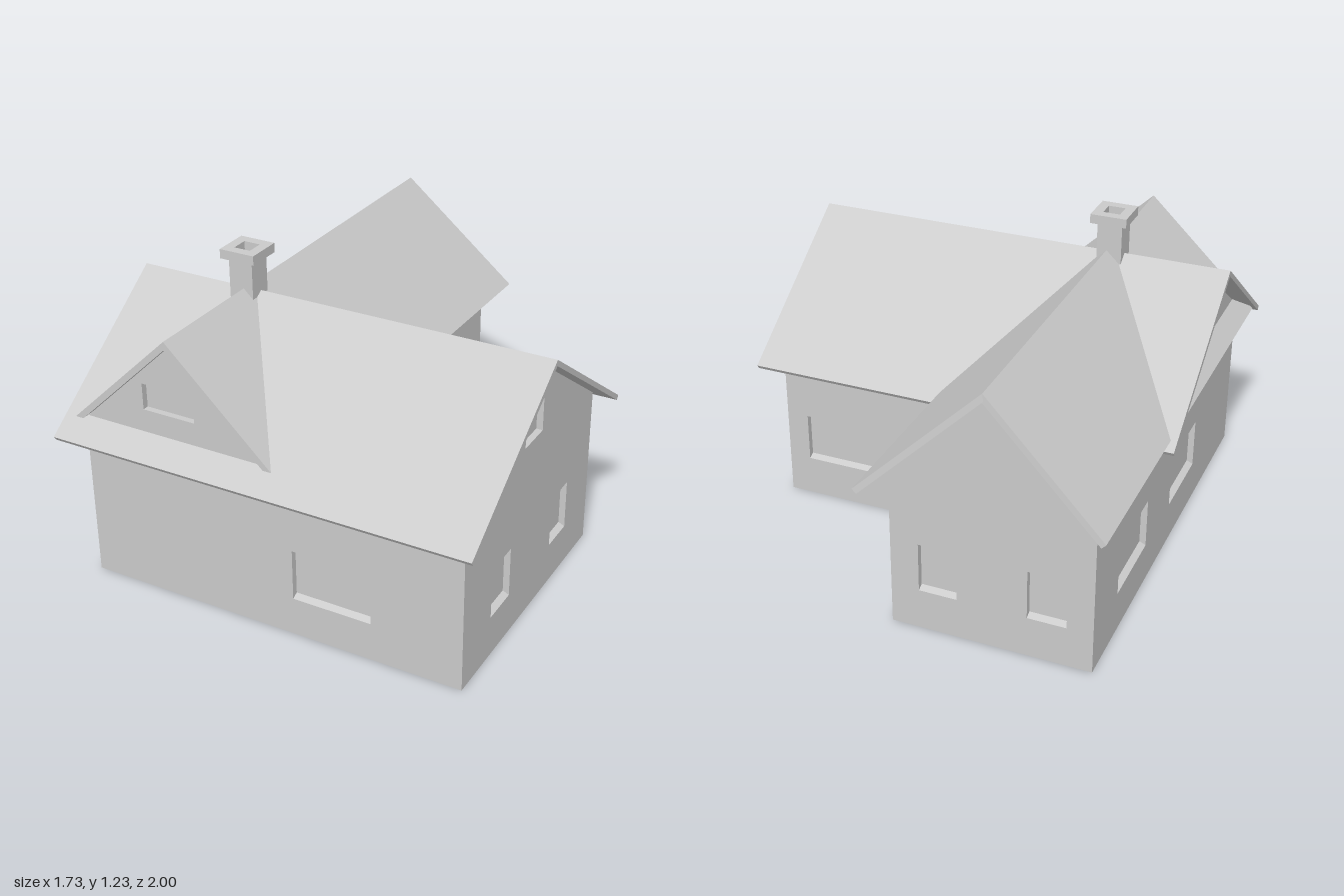
import * as THREE from 'three';
import { ConvexGeometry } from 'three/addons/geometries/ConvexGeometry.js';

const solid = new THREE.MeshStandardMaterial({ color: 0xcccccc, flatShading: true });
const sheet = new THREE.MeshStandardMaterial({ color: 0xcccccc, flatShading: true, side: THREE.DoubleSide });
const V = (x, y, z) => new THREE.Vector3(x, y, z);

const part = (name, geometry, material = solid) => {
  const mesh = new THREE.Mesh(geometry, material);
  mesh.name = name;
  return mesh;
};

// Rectangular ring or panel path
const rect = (Type, x0, y0, x1, y1) => new Type([
  new THREE.Vector2(x0, y0), new THREE.Vector2(x1, y0),
  new THREE.Vector2(x1, y1), new THREE.Vector2(x0, y1),
]);

// Sunken window: four reveals (sill slopes inwards) and a pane
function windowRecess([x0, y0, x1, y1], depth = 0.025, sill = 0.012) {
  const front = [V(x0, y0, 0), V(x1, y0, 0), V(x1, y1, 0), V(x0, y1, 0)];
  const back = [V(x0, y0 + sill, -depth), V(x1, y0 + sill, -depth), V(x1, y1, -depth), V(x0, y1, -depth)];
  const points = [];
  const quad = (a, b, c, d) => points.push(a, b, c, a, c, d);
  for (let i = 0; i < 4; i++) {
    const j = (i + 1) % 4;
    quad(front[i], front[j], back[j], back[i]);
  }
  quad(...back);
  const geometry = new THREE.BufferGeometry().setFromPoints(points);
  geometry.computeVertexNormals();
  return part('window', geometry, sheet);
}

// Thin wall drawn in its own plane, with windows cut out, then turned into place
function wall(name, outline, windows, turn, x, z) {
  const group = new THREE.Group();
  group.name = name;
  const shape = new THREE.Shape(outline.map(([u, y]) => new THREE.Vector2(u, y)));
  for (const w of windows) {
    shape.holes.push(rect(THREE.Path, ...w));
    group.add(windowRecess(w, 0.025, w[1] < 0.5 ? 0.012 : 0));
  }
  group.add(part(name + 'Panel', new THREE.ShapeGeometry(shape), sheet));
  group.rotation.y = turn;
  group.position.set(x, 0, z);
  return group;
}

// Roof slab: four top corners, thickened downwards along the normal
function slab(name, corners, thickness) {
  const n = new THREE.Plane().setFromCoplanarPoints(...corners.slice(0, 3)).normal;
  if (n.y < 0) n.negate();
  const lower = corners.map(c => c.clone().addScaledVector(n, -thickness));
  return part(name, new ConvexGeometry([...corners, ...lower]));
}

// Square tube lying on the ground plane, extruded upwards
function squareTube(name, outer, inner, y, height) {
  const shape = rect(THREE.Shape, -outer, -outer, outer, outer);
  shape.holes.push(rect(THREE.Path, -inner, -inner, inner, inner));
  const geometry = new THREE.ExtrudeGeometry(shape, { depth: height, bevelEnabled: false });
  geometry.rotateX(-Math.PI / 2).translate(-0.39, y, 0.355);
  return part(name, geometry);
}

export function createModel() {
  const house = new THREE.Group();
  house.name = 'house';

  // Body extents: main block and rear wing
  const L = -0.77, R = 0.79, F = 0.9, B = -0.21, wingR = 0.01, wingB = -0.86;
  const ridgeZ = 0.35, ridgeX = -0.38;
  // Underside heights of the two roofs
  const mainY = z => 1.035 - 0.685 * Math.abs(z - ridgeZ);
  const crossY = x => 1.045 - 0.957 * Math.abs(x - ridgeX);
  const low = 0.165, high = 0.365;

  // Walls
  house.add(
    wall('frontWall', [[L, 0], [R, 0], [R, mainY(F)], [L, mainY(F)]],
      [[0.11, 0.155, 0.43, 0.36]], 0, 0, F),
    wall('frontGable', [[-0.76, crossY(-0.76)], [0, crossY(0)], [ridgeX, crossY(ridgeX)]],
      [[-0.5, 0.775, -0.28, 0.88]], 0, 0, F),
    wall('rightWall', [[-F, 0], [-B, 0], [-B, mainY(B)], [-ridgeZ, mainY(ridgeZ)], [-F, mainY(F)]],
      [[-0.675, low, -0.52, high], [-0.155, low, -0.005, high], [-0.43, 0.73, -0.28, 0.925]], Math.PI / 2, R, 0),
    wall('leftWall', [[wingB, 0], [F, 0], [F, mainY(F)], [ridgeZ, mainY(ridgeZ)],
      [B, mainY(B)], [B, crossY(L)], [wingB, crossY(L)]],
      [[-0.6, low, -0.27, high], [0.03, low, 0.36, high], [0.28, 0.73, 0.43, 0.925]], -Math.PI / 2, L, 0),
    wall('backWall', [[-R, 0], [-wingR, 0], [-wingR, mainY(B)], [-R, mainY(B)]],
      [[-0.7, low, -0.41, high]], Math.PI, 0, B),
    wall('wingSideWall', [[-B, 0], [-wingB, 0], [-wingB, crossY(wingR)], [-B, crossY(wingR)]],
      [[0.39, low, 0.69, high]], Math.PI / 2, wingR, 0),
    wall('wingBackWall', [[-wingR, 0], [-L, 0], [-L, crossY(L)], [-ridgeX, crossY(ridgeX)], [-wingR, crossY(wingR)]],
      [[0.1, low, 0.25, high], [0.52, low, 0.67, high]], Math.PI, 0, wingB),
  );

  // Back door
  const door = part('door', new THREE.BoxGeometry(0.16, 0.305, 0.02));
  door.position.set(0.19, 0.1525, B - 0.005);
  house.add(door);

  // Main roof, ridge running side to side
  const mainRidge = [V(-0.865, 1.06, ridgeZ), V(0.86, 1.06, ridgeZ)];
  house.add(
    slab('mainRoofFront', [...mainRidge, V(0.86, 0.615, 1), V(-0.848, 0.615, 1)], 0.02),
    slab('mainRoofBack', [...mainRidge, V(0.86, 0.613, -0.305), V(-0.865, 0.613, -0.305)], 0.02),
  );

  // Cross roof, running from the front gable through to the wing
  const crossRidge = [V(ridgeX, 1.08, 0.915), V(ridgeX, 1.08, -0.93)];
  house.add(
    slab('crossRoofLeft', [...crossRidge, V(-0.84, 0.64, -0.98), V(-0.84, 0.64, 0.915)], 0.024),
    slab('crossRoofRight', [...crossRidge, V(0.08, 0.64, -1), V(0.08, 0.64, 0.915)], 0.024),
  );

  // Chimney
  house.add(
    squareTube('chimneyStack', 0.05, 0.034, 0.96, 0.235),
    squareTube('chimneyCap', 0.073, 0.034, 1.193, 0.037),
  );
  return house;
}
